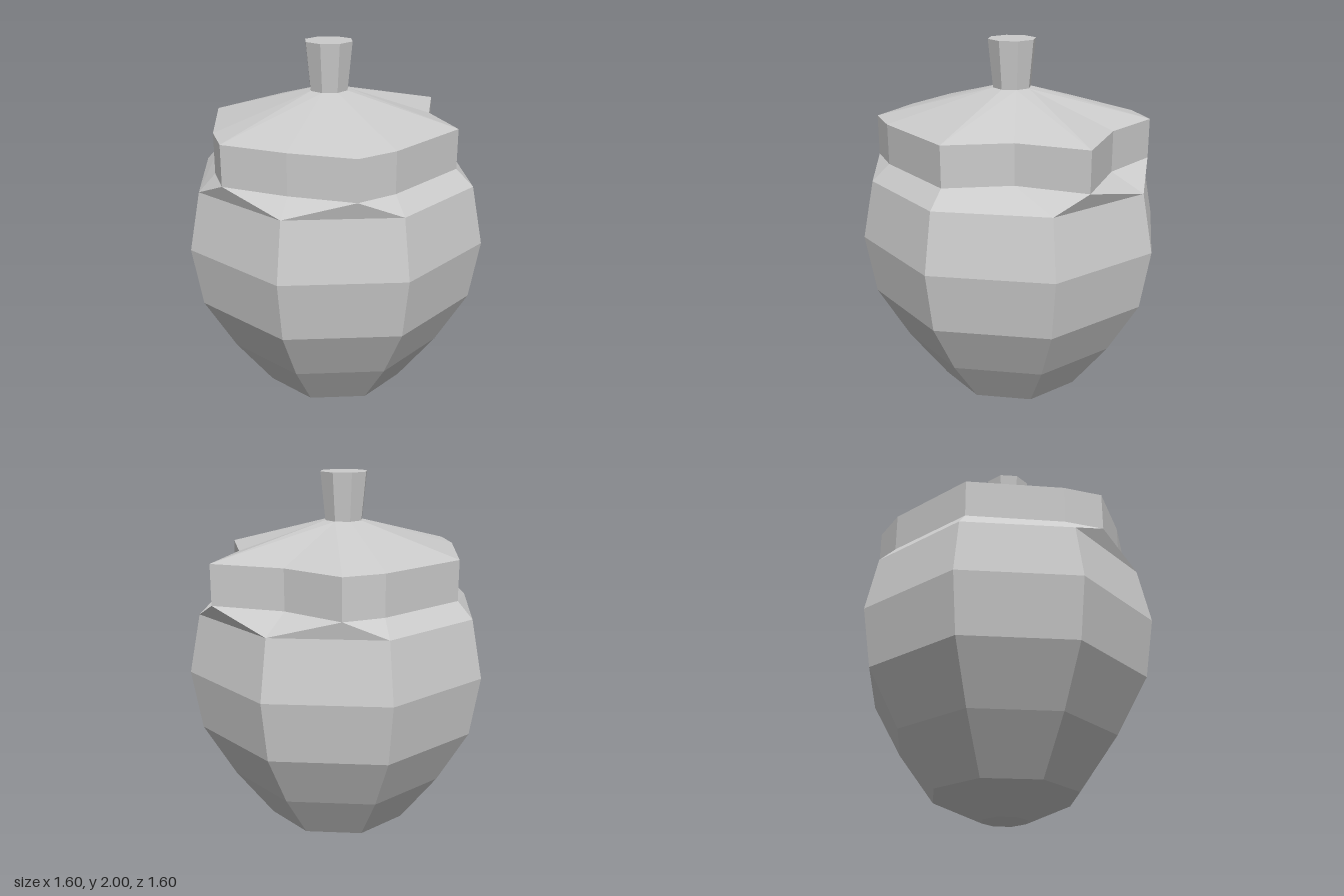
import * as THREE from 'three';

const material = new THREE.MeshStandardMaterial({ color: 0xcccccc, flatShading: true });

// Eight-sided ring with corners on the axes
function octagon(radius, y, cx = 0, cz = 0) {
  return Array.from({ length: 8 }, (_, k) => {
    const a = (k * Math.PI) / 4;
    return new THREE.Vector3(cx + radius * Math.cos(a), y, cz + radius * Math.sin(a));
  });
}

// Uneven cap outline: x, z, and the octagon corner it hangs on (.5 = between two corners)
const outline = [
  [0.65, 0, 0], [0.46, 0.46, 1], [0.33, 0.63, 1.5], [0, 0.65, 2],
  [-0.34, 0.63, 2.5], [-0.46, 0.46, 3], [-0.66, 0, 4], [-0.47, -0.46, 5],
  [-0.33, -0.62, 5.5], [0, -0.565, 6], [0.37, -0.63, 6.5], [0.44, -0.27, 7],
];

// Joins an octagon to the outline ring; flip when the octagon lies above
function stitch(tris, oct, ring, flip) {
  const add = (a, b, c) => (flip ? tris.push(a, c, b) : tris.push(a, b, c));
  ring.forEach((p, i) => {
    const j = (i + 1) % ring.length;
    const lo = Math.floor(outline[i][2]);
    const hi = Math.ceil(outline[i][2]) % 8;
    const next = Math.floor(outline[j][2]);
    if (lo !== hi) add(oct[lo], p, oct[hi]);
    add(oct[hi], p, ring[j]);
    if (hi !== next) add(oct[hi], ring[j], oct[next]);
  });
}

function mesh(name, geometry) {
  const m = new THREE.Mesh(geometry, material);
  m.name = name;
  return m;
}

export function createModel() {
  const group = new THREE.Group();
  group.name = 'acorn';

  // Nut body, pointed at the bottom
  const profile = [[0, 0], [0.12, 0.02], [0.385, 0.14], [0.585, 0.41], [0.75, 0.7], [0.8, 1.01], [0.74, 1.31]];
  group.add(mesh('nut', new THREE.LatheGeometry(profile.map(([r, y]) => new THREE.Vector2(r, y)), 8)));

  // Cap: lip joined to the nut, upright rim, sloping top
  const lower = outline.map(([x, z]) => new THREE.Vector3(x, 1.395, z));
  const upper = outline.map(([x, z]) => new THREE.Vector3(x, 1.6, z));
  const tris = [];
  stitch(tris, octagon(0.74, 1.31), lower, false);
  lower.forEach((p, i) => {
    const j = (i + 1) % lower.length;
    tris.push(p, upper[i], lower[j], lower[j], upper[i], upper[j]);
  });
  stitch(tris, octagon(0.1, 1.755, -0.02, 0.02), upper, true);
  const capGeometry = new THREE.BufferGeometry().setFromPoints(tris);
  capGeometry.computeVertexNormals();
  group.add(mesh('cap', capGeometry));

  // Stem, widening towards its top
  const stem = mesh('stem', new THREE.CylinderGeometry(0.125, 0.1, 0.245, 8));
  stem.position.set(-0.02, 1.8775, 0.02);
  group.add(stem);

  return group;
}
